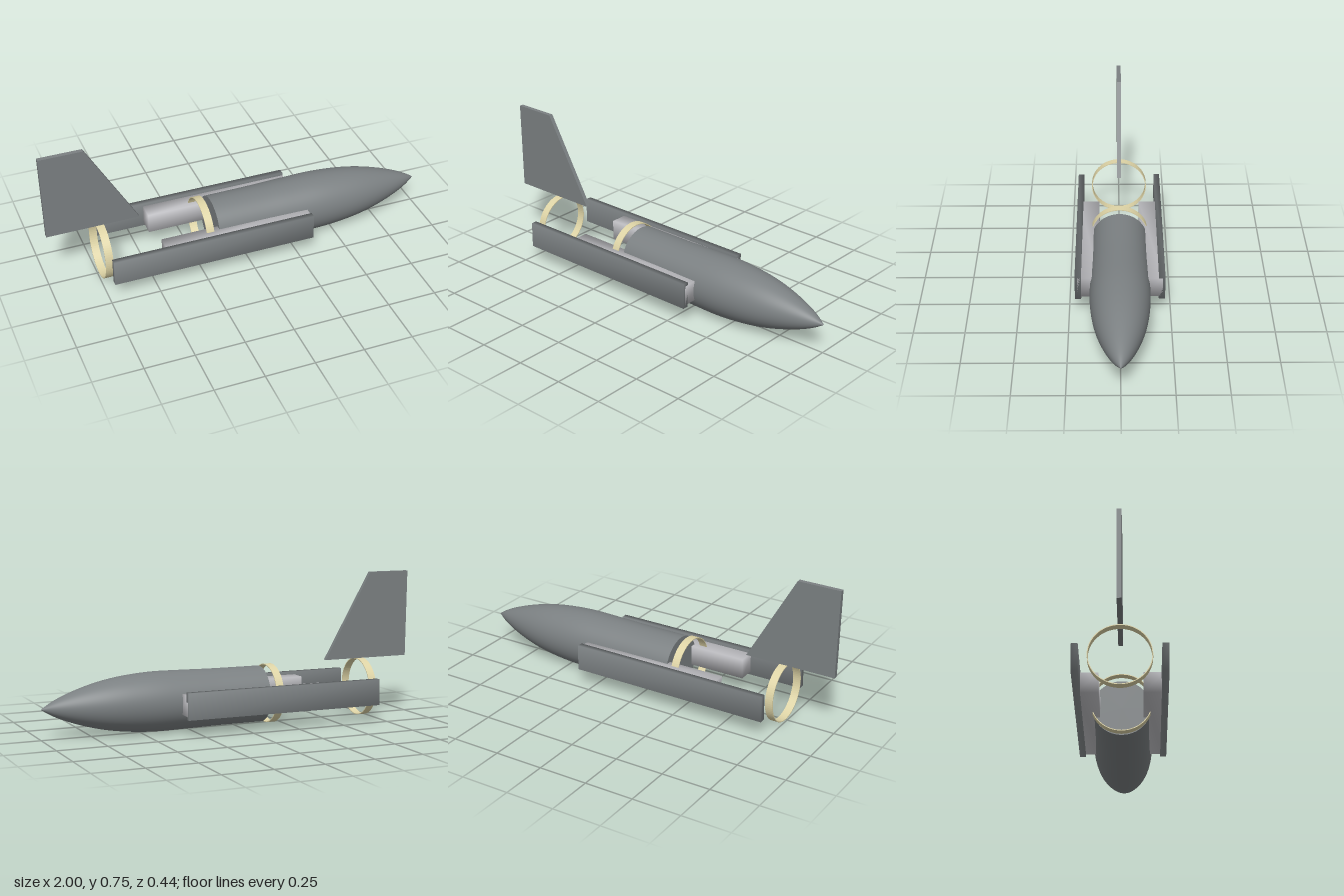
import * as THREE from 'three';
import { mergeVertices } from 'three/addons/utils/BufferGeometryUtils.js';

const AXIS_Y = 0.153;

// Box whose corners share averaged normals, for a soft shaded look
function softBox(w, h, d) {
  const g = new THREE.BoxGeometry(w, h, d);
  g.deleteAttribute('normal');
  g.deleteAttribute('uv');
  const merged = mergeVertices(g);
  merged.computeVertexNormals();
  return merged;
}

export function createModel() {
  const group = new THREE.Group();
  const hullGrey = new THREE.MeshStandardMaterial({ color: 0x7b8082 });
  const podGrey = new THREE.MeshStandardMaterial({ color: 0xbcbcc0 });
  const ringCream = new THREE.MeshStandardMaterial({ color: 0xded4a6 });

  const add = (name, geometry, material, x, y, z) => {
    const mesh = new THREE.Mesh(geometry, material);
    mesh.name = name;
    mesh.position.set(x, y, z);
    group.add(mesh);
    return mesh;
  };

  // Fuselage: spun profile from the blunt rear to the pointed nose
  const profile = new THREE.SplineCurve([
    [0.142, -0.145], [0.143, 0.1], [0.146, 0.25], [0.148, 0.42], [0.14, 0.55],
    [0.125, 0.66], [0.102, 0.76], [0.07, 0.86], [0.036, 0.94], [0, 1],
  ].map(([r, x]) => new THREE.Vector2(r, x))).getPoints(48);
  profile.forEach((p) => { p.x = Math.max(p.x, 0); });
  add('fuselage', new THREE.LatheGeometry(profile, 64), hullGrey, 0, AXIS_Y, 0)
    .rotation.z = -Math.PI / 2;
  add('fuselageRearCap', new THREE.CircleGeometry(0.142, 64), hullGrey, -0.145, AXIS_Y, 0)
    .rotation.y = -Math.PI / 2;

  // Two thin hoops around the body axis
  const hoop = new THREE.Shape().absarc(0, 0, 0.149, 0, Math.PI * 2, false);
  hoop.holes.push(new THREE.Path().absarc(0, 0, 0.145, 0, Math.PI * 2, true));
  const hoopGeometry = new THREE.ExtrudeGeometry(hoop, {
    depth: 0.04, bevelEnabled: false, curveSegments: 40,
  });
  hoopGeometry.translate(0, 0, -0.02);
  for (const [name, x] of [['middleRing', -0.195], ['rearRing', -0.722]]) {
    add(name, hoopGeometry, ringCream, x, AXIS_Y, 0).rotation.y = Math.PI / 2;
  }

  // Side pods with long outer plates
  const podGeometry = softBox(0.77, 0.103, 0.105);
  const plateGeometry = softBox(1.05, 0.133, 0.031);
  for (const [side, s] of [['front', 1], ['back', -1]]) {
    add(side + 'Pod', podGeometry, podGrey, -0.055, AXIS_Y, s * 0.157);
    add(side + 'Plate', plateGeometry, hullGrey, -0.195, AXIS_Y, s * 0.206);
  }

  // Tail fin
  const fin = new THREE.Shape([
    [-0.992, 0.302], [-0.52, 0.302], [-0.778, 0.75], [-1, 0.75],
  ].map(([x, y]) => new THREE.Vector2(x, y)));
  add('tailFin', new THREE.ExtrudeGeometry(fin, { depth: 0.022, bevelEnabled: false }),
    hullGrey, 0, 0, -0.011);

  return group;
}
